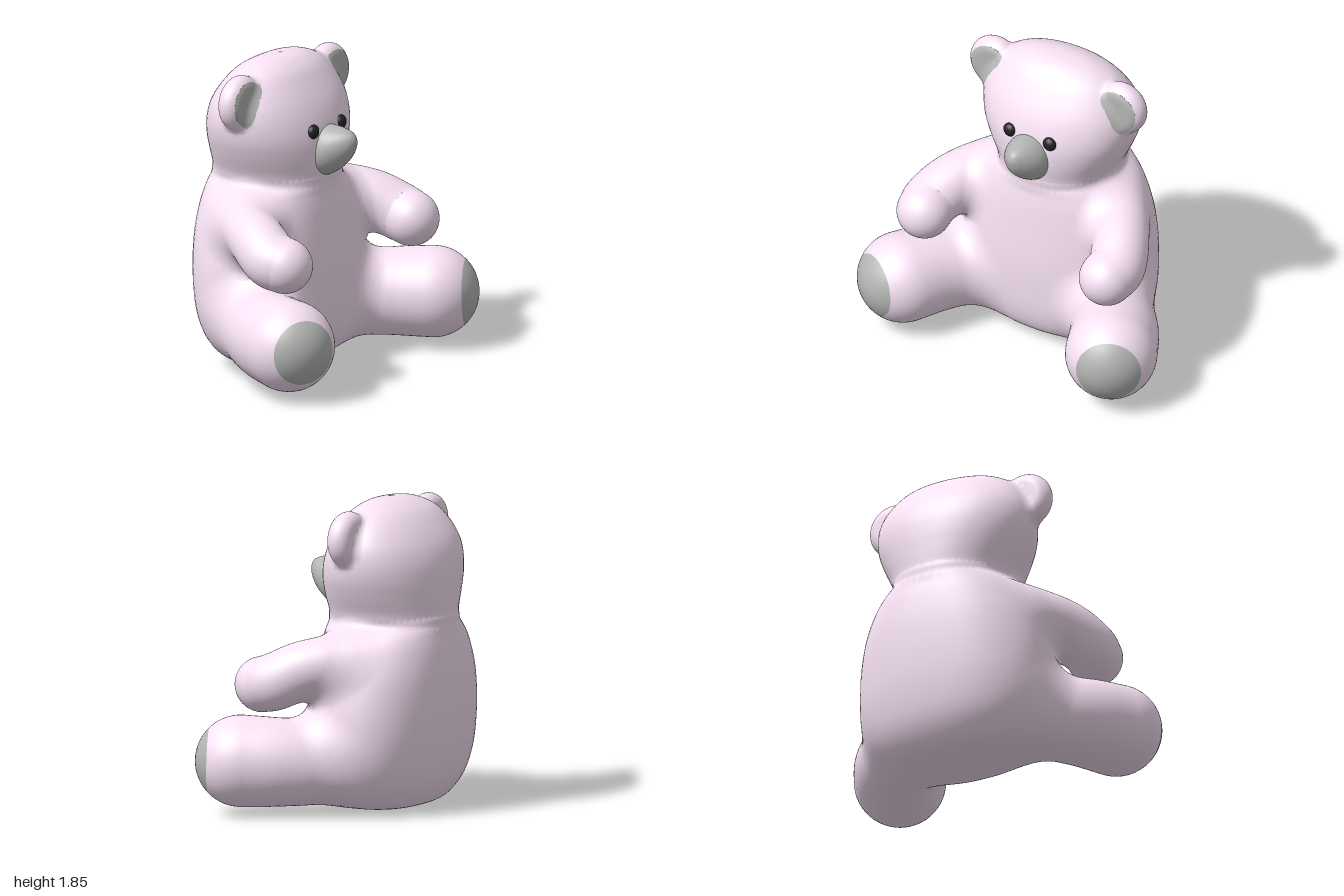
import * as THREE from 'three';
import { mergeVertices } from 'three/addons/utils/BufferGeometryUtils.js';

const SIDES = 56;
const plush = new THREE.MeshStandardMaterial({ color: 0xf8e3f5 });
const felt = new THREE.MeshStandardMaterial({ color: 0xb3b6b3 });
const black = new THREE.MeshStandardMaterial({ color: 0x222222 });
const V = (x, y, z) => new THREE.Vector3(x, y, z);

// Skins rings of superellipse outline: each ring is { c, u, v }, with u x v along the travel
function skin(rings, power) {
  const pos = [], index = [];
  const bend = (s) => Math.sign(s) * Math.abs(s) ** (2 / power);
  for (const { c, u, v } of rings) {
    for (let i = 0; i < SIDES; i++) {
      const a = (i / SIDES) * Math.PI * 2;
      const p = c.clone().addScaledVector(u, bend(Math.cos(a))).addScaledVector(v, bend(Math.sin(a)));
      pos.push(p.x, p.y, p.z);
    }
  }
  for (let r = 0; r < rings.length - 1; r++) {
    for (let i = 0; i < SIDES; i++) {
      const j = (i + 1) % SIDES, a = r * SIDES, b = a + SIDES;
      index.push(a + i, a + j, b + j, a + i, b + j, b + i);
    }
  }
  let geo = new THREE.BufferGeometry();
  geo.setAttribute('position', new THREE.Float32BufferAttribute(pos, 3));
  geo.setIndex(index);
  geo = mergeVertices(geo, 1e-5);
  geo.computeVertexNormals();
  return geo;
}

// Upright form from rows of [half width, height, front z, back z], with its distance rule
function stack(rows, power) {
  const curve = (k) => new THREE.CatmullRomCurve3(
    rows.map((r) => V(r[0], r[1], r[k])), false, 'catmullrom', 0.5);
  const front = curve(2), back = curve(3), n = (rows.length - 1) * 5, rings = [];
  for (let i = 0; i <= n; i++) {
    const f = front.getPoint(i / n), b = back.getPoint(i / n);
    rings.push({
      c: V(0, f.y, (f.z + b.z) / 2),
      u: V(0, 0, Math.max((f.z - b.z) / 2, 0)),
      v: V(Math.max(f.x, 0), 0, 0),
    });
  }
  const distance = (p) => {
    const k = rings.findIndex((r) => r.c.y > p.y);
    if (k < 1) {
      return p.distanceTo(rings[k === 0 ? 0 : n].c);
    }
    const a = rings[k - 1], b = rings[k], t = (p.y - a.c.y) / (b.c.y - a.c.y);
    const mix = (from, to) => Math.max(THREE.MathUtils.lerp(from, to, t), 1e-4);
    const z = p.z - THREE.MathUtils.lerp(a.c.z, b.c.z, t), r = Math.hypot(p.x, z) + 1e-7;
    const g = (Math.abs(z / mix(a.u.z, b.u.z)) ** power + Math.abs(p.x / mix(a.v.x, b.v.x)) ** power) ** (1 / power);
    return r - r / (g + 1e-7);
  };
  return { geo: skin(rings, power), distance };
}

// Round limb through [x, y, z, radius] points with a domed tip, with its distance rule
const SHAFT = 30, DOME = 14;
function limb(points) {
  const path = new THREE.CatmullRomCurve3(points.map(([x, y, z]) => V(x, y, z)), false, 'catmullrom', 0.5);
  const size = new THREE.CatmullRomCurve3(points.map((p) => V(p[3], 0, 0)), false, 'catmullrom', 0.5);
  const rings = [], balls = [];
  for (let i = 0; i <= SHAFT + DOME; i++) {
    const t = Math.min(i / SHAFT, 1), a = (Math.max(0, i - SHAFT) / DOME) * Math.PI / 2;
    const c = path.getPoint(t), dir = path.getTangent(t), r = size.getPoint(t).x;
    if (i <= SHAFT) balls.push({ c: c.clone(), r });
    const f = i === SHAFT + DOME ? 0 : r * Math.cos(a);
    const up = V(0, 1, 0).addScaledVector(dir, -dir.y).normalize();
    const side = up.clone().cross(dir);
    rings.push({ c: c.addScaledVector(dir, r * Math.sin(a)), u: side.multiplyScalar(f), v: up.multiplyScalar(f) });
  }
  const distance = (p) => balls.reduce((d, b) => Math.min(d, p.distanceTo(b.c) - b.r), Infinity);
  return { geo: skin(rings, 2), distance };
}

// Union of two distances with a soft join of reach k
function soften(a, b, k) {
  const h = Math.max(k - Math.abs(a - b), 0) / k;
  return Math.min(a, b) - h * h * k / 4;
}

// Slides the vertices near the surface of a distance field onto it; buried ones stay put
function settle(source, field) {
  const geo = source.clone(), pos = geo.attributes.position, nor = geo.attributes.normal;
  const p = V(), n = V(), start = V(), grad = V(), e = 0.004;
  const slope = () => ['x', 'y', 'z'].forEach((k) => {
    const q = p.clone();
    q[k] += e;
    const high = field(q);
    q[k] -= 2 * e;
    grad[k] = (high - field(q)) / (2 * e);
  });
  for (let i = 0; i < pos.count; i++) {
    start.fromBufferAttribute(pos, i);
    p.copy(start);
    let f = field(p);
    if (f < -0.09 || Math.abs(f) < 5e-4) continue;
    for (let step = 0; step < 4 && Math.abs(f) > 1e-4; step++) {
      slope();
      p.addScaledVector(grad, THREE.MathUtils.clamp(-f / Math.max(grad.lengthSq(), 0.3), -0.06, 0.06));
      f = field(p);
    }
    slope();
    const w = THREE.MathUtils.smoothstep(p.distanceTo(start), 0, 0.006);
    n.fromBufferAttribute(nor, i).lerp(grad.normalize(), w).normalize();
    pos.setXYZ(i, p.x, p.y, p.z);
    nor.setXYZ(i, n.x, n.y, n.z);
  }
  return geo;
}

// Part of a skinned surface between two ring numbers, keeping its smooth normals
function between(geo, from, to) {
  const part = geo.clone();
  part.setIndex(Array.from(geo.index.array).slice(from * SIDES * 6, to * SIDES * 6));
  return part;
}

// Mirrors a geometry across x, flipping the corner order
function mirrored(geo) {
  const g = geo.clone().scale(-1, 1, 1), a = g.index.array;
  for (let i = 0; i < a.length; i += 3) [a[i], a[i + 1]] = [a[i + 1], a[i]];
  return g;
}

// Ear: a disc with a fully rounded rim, turned from [radius, depth] points
const EAR = V(0.44, 1.645, -0.188), RIM = 0.072, FLAT = 0.093;
const earDistance = (p) => Math.hypot(
  Math.max(Math.hypot(p.x - EAR.x, p.y - EAR.y) - FLAT, 0), p.z - EAR.z) - RIM;
function earDisc(points) {
  const geo = new THREE.LatheGeometry(points.map(([r, z]) => new THREE.Vector2(r, z)), 48);
  return mergeVertices(geo.deleteAttribute('uv').rotateX(Math.PI / 2).translate(EAR.x, EAR.y, EAR.z));
}

export function createModel() {
  const model = new THREE.Group();
  const add = (name, geo, mat) => {
    const mesh = new THREE.Mesh(geo, mat);
    mesh.name = name;
    model.add(mesh);
  };
  const pair = (name, geo, mat) => {
    add('left' + name, geo, mat);
    add('right' + name, mirrored(geo), mat);
  };

  // Torso, closing inside the head
  const body = stack([
    [0, 0, -0.2, -0.2], [0.2, 0.01, -0.04, -0.33], [0.36, 0.04, 0.06, -0.44],
    [0.47, 0.1, 0.13, -0.51], [0.55, 0.22, 0.17, -0.575], [0.6, 0.4, 0.185, -0.615],
    [0.6, 0.6, 0.185, -0.635], [0.565, 0.8, 0.17, -0.64], [0.51, 0.95, 0.155, -0.63],
    [0.45, 1.05, 0.14, -0.615], [0.37, 1.12, 0.13, -0.6], [0.28, 1.19, 0.08, -0.55],
    [0, 1.25, -0.2, -0.25],
  ], 2.3);

  // Head
  const head = stack([
    [0, 0.98, -0.2, -0.25], [0.27, 1.02, 0.06, -0.54], [0.36, 1.12, 0.13, -0.597],
    [0.39, 1.2, 0.145, -0.603], [0.44, 1.3, 0.155, -0.605], [0.48, 1.4, 0.152, -0.603],
    [0.495, 1.5, 0.13, -0.59], [0.48, 1.6, 0.09, -0.555], [0.425, 1.7, 0.03, -0.49],
    [0.34, 1.78, -0.03, -0.415], [0.22, 1.83, -0.1, -0.325], [0.1, 1.848, -0.16, -0.26],
    [0, 1.85, -0.21, -0.21],
  ], 2.1);

  // Arms reaching forward and legs spread wide
  const arm = limb([
    [0.28, 0.9, -0.25, 0.14], [0.45, 0.915, -0.15, 0.16], [0.575, 0.875, 0.03, 0.166],
    [0.643, 0.8, 0.18, 0.17], [0.638, 0.772, 0.28, 0.165],
  ]);
  const leg = limb([
    [0.3, 0.36, -0.2, 0.2], [0.47, 0.31, -0.02, 0.24], [0.625, 0.315, 0.18, 0.262],
    [0.728, 0.32, 0.373, 0.272],
  ]);

  // Ear surface and its felt front
  const rim = Array.from({ length: 17 }, (_, i) => {
    const a = (i / 16 - 0.5) * Math.PI;
    return [FLAT + RIM * Math.cos(a), RIM * Math.sin(a)];
  });
  const ear = earDisc([[0, -RIM], [0.03, -RIM], [0.06, -RIM], ...rim.slice(0, 14)]);
  const innerEar = earDisc([...rim.slice(13), [0.06, RIM], [0.03, RIM], [0, RIM]]);

  // The whole plush surface, softened where parts meet
  const field = (point) => {
    const p = V(Math.abs(point.x), point.y, point.z);
    let torso = soften(body.distance(p), head.distance(p), 0.04);
    torso = soften(torso, earDistance(p), 0.05);
    return Math.min(soften(torso, arm.distance(p), 0.15), soften(torso, leg.distance(p), 0.18));
  };
  add('body', settle(body.geo, field), plush);
  add('head', settle(head.geo, field), plush);
  pair('Arm', settle(arm.geo, field), plush);
  pair('Ear', settle(ear, field), plush);
  pair('InnerEar', settle(innerEar, (p) => field(p) - 0.002), felt);

  // The end of each leg dome is a felt sole
  const softLeg = settle(leg.geo, field), sole = SHAFT + 7;
  pair('Leg', between(softLeg, 0, sole), plush);
  pair('Sole', between(softLeg, sole, SHAFT + DOME), felt);

  // Snout, stacked upright and tipped forward: rows run out along z
  add('snout', stack([
    [0.13, 0.06, -1.16, -1.467], [0.136, 0.13, -1.16, -1.468], [0.125, 0.2, -1.195, -1.464],
    [0.09, 0.265, -1.25, -1.453], [0.05, 0.31, -1.31, -1.435], [0.022, 0.328, -1.355, -1.41],
    [0, 0.334, -1.385, -1.385],
  ], 2).geo.rotateX(Math.PI / 2), felt);

  // Eyes
  pair('Eye', new THREE.SphereGeometry(0.043, 24, 16).scale(1, 1, 0.75).translate(0.138, 1.45, 0.125), black);

  return model;
}
